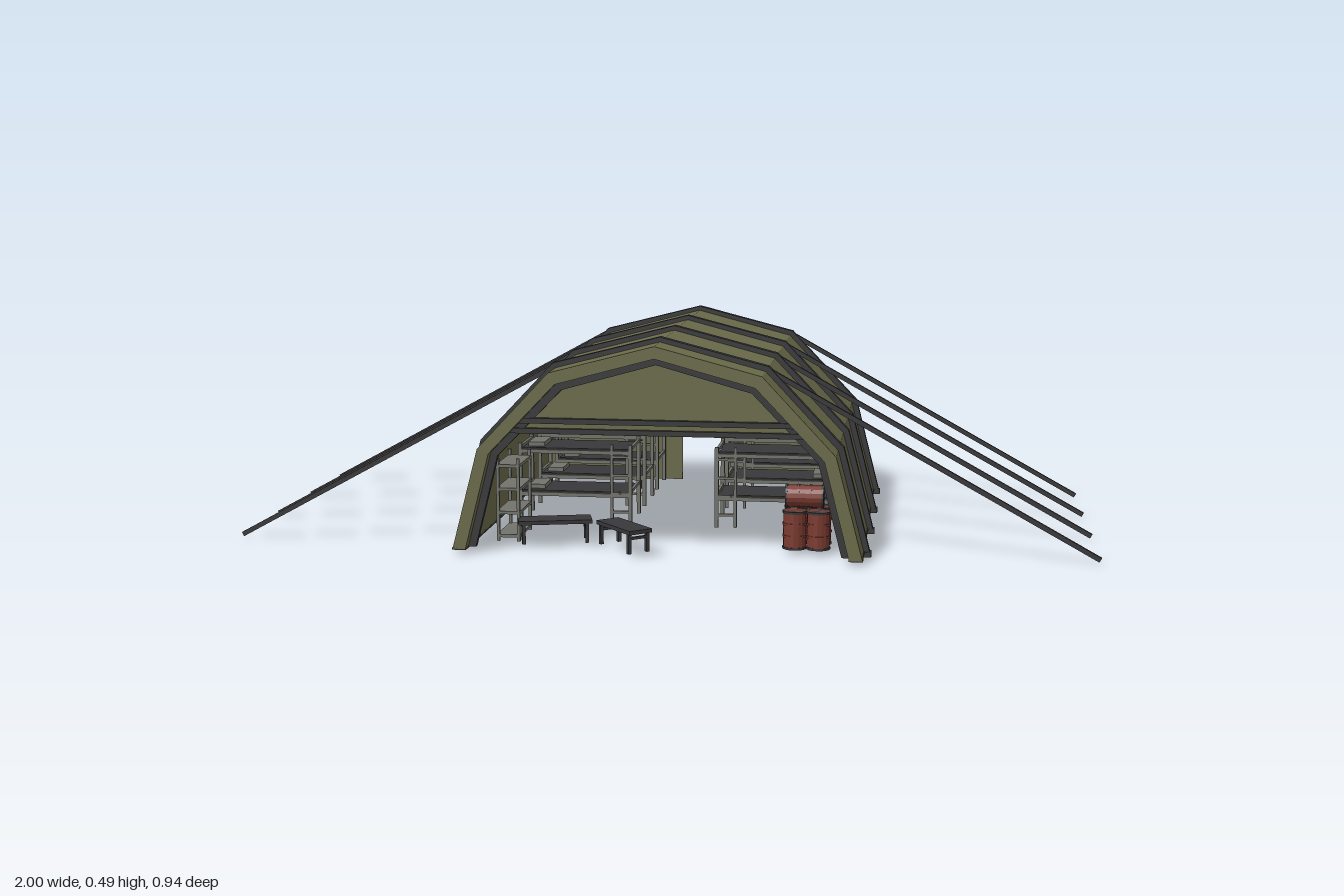
import * as THREE from 'three';

const mat = (color) => new THREE.MeshStandardMaterial({ color, side: THREE.DoubleSide, flatShading: true });
const canvas = mat(0x6b6b4a), dark = mat(0x38383a), metal = mat(0x73736c), red = mat(0x7a3a30);

// Half profiles of the arch, from the foot to the ridge
const RIB = [[0.482, 0.002], [0.418, 0.252], [0.247, 0.433], [0, 0.496]];
const OUTER = [[0.466, 0.013], [0.405, 0.246], [0.24, 0.422], [0, 0.485]];
const INNER = [[0.436, 0.013], [0.379, 0.235], [0.225, 0.396], [0, 0.457]];
const FRAME = [[0.418, 0.013], [0.364, 0.226], [0.215, 0.38], [0, 0.44]];

const mirror = (half) => [...half, ...half.slice(0, -1).reverse().map(([x, y]) => [-x, y])];
const toShape = (pts) => new THREE.Shape(pts.map(([x, y]) => new THREE.Vector2(x, y)));

function add(parent, name, geometry, material, x = 0, y = 0, z = 0) {
  const mesh = new THREE.Mesh(geometry, material);
  mesh.name = name;
  mesh.position.set(x, y, z);
  parent.add(mesh);
  return mesh;
}

function box(parent, name, w, h, d, x, y, z, material) {
  return add(parent, name, new THREE.BoxGeometry(w, h, d), material, x, y, z);
}

// Flat shape given depth, centred on z
function slab(parent, name, pts, depth, z, material) {
  const geo = new THREE.ExtrudeGeometry(toShape(pts), { depth, bevelEnabled: false });
  return add(parent, name, geo, material, 0, 0, z - depth / 2);
}

// Arch band between two half profiles
const arch = (parent, name, outer, inner, depth, z, material) =>
  slab(parent, name, [...mirror(outer), ...mirror(inner).reverse()], depth, z, material);

function group(parent, name, x = 0, y = 0, z = 0) {
  const g = new THREE.Group();
  g.name = name;
  g.position.set(x, y, z);
  parent.add(g);
  return g;
}

// Square bar between two points in the x-y plane
function bar(parent, name, x0, y0, x1, y1, z, t, material) {
  const m = box(parent, name, Math.hypot(x1 - x0, y1 - y0), t, t, (x0 + x1) / 2, (y0 + y1) / 2, z, material);
  m.rotation.z = Math.atan2(y1 - y0, x1 - x0);
  return m;
}

// Bunk bed lying along x, ladder at the end nearest the aisle
function bunk(parent, side, z) {
  const g = group(parent, 'bunkBed', side * 0.24, 0.013, z);
  const L = 0.27, W = 0.13;
  for (const sx of [-1, 1]) {
    for (const sz of [-1, 1])
      box(g, 'bunkPost', 0.009, 0.195, 0.009, sx * L / 2, 0.0975, sz * W / 2, metal);
    for (const y of [0.08, 0.185])
      box(g, 'endRail', 0.007, 0.007, W, sx * L / 2, y, 0, metal);
  }
  for (const y of [0.07, 0.175]) {
    for (const sz of [-1, 1]) box(g, 'sideRail', L, 0.009, 0.007, 0, y, sz * W / 2, metal);
    box(g, 'bunkBase', L - 0.01, 0.01, W - 0.008, 0, y + 0.003, 0, dark);
    box(g, 'pillow', 0.04, 0.01, W * 0.6, side * 0.1, y + 0.013, 0, metal);
  }
  const lx = -side * (L / 2 - 0.045);
  box(g, 'ladderPost', 0.007, 0.195, 0.007, lx, 0.0975, W / 2, metal);
  for (let i = 0; i < 4; i++)
    box(g, 'ladderRung', 0.045, 0.006, 0.006, -side * (L / 2 - 0.0225), 0.03 + i * 0.045, W / 2, metal);
}

// Small bench on four legs
function bench(parent, x, z, length, turn) {
  const g = group(parent, 'bench', x, 0.013, z);
  g.rotation.y = turn;
  box(g, 'benchTop', length, 0.009, 0.06, 0, 0.05, 0, dark);
  for (const sx of [-1, 1]) {
    for (const sz of [-1, 1])
      box(g, 'benchLeg', 0.008, 0.047, 0.008, sx * (length / 2 - 0.012), 0.0235, sz * 0.024, dark);
    box(g, 'benchBrace', 0.006, 0.006, 0.048, sx * (length / 2 - 0.012), 0.035, 0, dark);
  }
}

// Steel drum with rolling hoops
function barrel(parent, x, y, z, lying) {
  const g = group(parent, 'barrel', x, y, z);
  const h = 0.088, r = 0.026;
  add(g, 'barrelBody', new THREE.CylinderGeometry(r, r, h, 16), red);
  for (const k of [-0.5, -0.17, 0.17, 0.5])
    add(g, 'barrelHoop', new THREE.CylinderGeometry(r + 0.002, r + 0.002, 0.005, 16), k % 0.5 ? red : dark, 0, k * (h - 0.005), 0);
  if (lying) g.rotation.z = Math.PI / 2;
}

export function createModel() {
  const root = new THREE.Group();
  root.name = 'fieldTent';
  const tent = group(root, 'tent', 0.005);

  // Canvas shell, ground hems and hoops
  arch(tent, 'canvasShell', OUTER, INNER, 0.93, 0, canvas);
  for (const s of [-1, 1]) {
    box(tent, 'groundHem', 0.032, 0.005, 0.93, s * 0.451, 0.0135, 0, dark);
    arch(tent, 'innerFrame', INNER, FRAME, 0.015, s * 0.43, s > 0 ? dark : canvas);
  }
  const hoops = [-0.365, -0.122, 0.122, 0.365];
  for (const z of hoops) {
    arch(tent, 'hoop', RIB, OUTER, 0.022, z, dark);
    for (const s of [-1, 1]) {
      box(tent, 'hoopFoot', 0.035, 0.012, 0.024, s * 0.465, 0.008, z, dark);
      // Guy lines
      bar(root, 'guyLine', s * 0.996, 0.01, s * 0.235 + 0.005, 0.43, z, 0.011, dark);
    }
  }

  // Front gable above the wide opening, with its cross beams
  slab(tent, 'frontGable', mirror([[0.315, 0.3], ...INNER.slice(2)]), 0.008, 0.425, canvas);
  box(tent, 'openingBeam', 0.67, 0.012, 0.02, 0, 0.309, 0.432, dark);
  box(tent, 'openingBeam', 0.69, 0.012, 0.02, 0, 0.286, 0.432, dark);
  box(tent, 'beamWeb', 0.68, 0.02, 0.008, 0, 0.297, 0.428, canvas);

  // Back wall with a doorway
  const DW = 0.056, DH = 0.165;
  slab(tent, 'backWall', [...mirror(INNER), [-DW, 0.013], [-DW, DH], [DW, DH], [DW, 0.013]], 0.008, -0.438, canvas);

  // Windows with rolled covers
  for (const s of [-1, 1]) {
    const w = group(tent, 'window', s * 0.26, 0.105, -0.445);
    box(w, 'windowPanel', 0.062, 0.055, 0.006, 0, 0, 0, canvas);
    for (const k of [-1, 1]) box(w, 'windowFrame', 0.005, 0.058, 0.009, k * 0.032, 0, 0, dark);
    box(w, 'windowSill', 0.069, 0.005, 0.009, 0, -0.028, 0, dark);
    const roll = add(w, 'windowRoll', new THREE.CylinderGeometry(0.009, 0.009, 0.115, 8), canvas, 0, 0.036, -0.006);
    roll.rotation.z = Math.PI / 2;
    for (const k of [-1, 1])
      add(w, 'rollStrap', new THREE.BoxGeometry(0.006, 0.021, 0.02), dark, k * 0.038, 0.036, -0.006);
  }
  // Rolled door cover
  const doorRoll = add(tent, 'doorRoll', new THREE.CylinderGeometry(0.008, 0.008, 0.12, 8), canvas, 0, DH + 0.008, -0.428);
  doorRoll.rotation.z = Math.PI / 2;

  // Furniture
  for (const s of [-1, 1])
    for (const z of [0.09, -0.135, -0.35]) bunk(tent, s, z);

  const shelf = group(tent, 'shelfUnit', -0.357, 0.013, 0.305);
  for (const sx of [-1, 1])
    for (const sz of [-1, 1])
      box(shelf, 'shelfPost', 0.007, 0.195, 0.007, sx * 0.024, 0.0975, sz * 0.062, metal);
  for (let i = 0; i < 4; i++)
    box(shelf, 'shelfBoard', 0.055, 0.007, 0.13, 0, 0.012 + i * 0.055, 0, metal);

  bench(tent, -0.25, 0.355, 0.17, 0.26);
  bench(tent, -0.08, 0.4, 0.145, -0.85);

  // Stacked barrels
  for (const x of [0.307, 0.361])
    for (const z of [0.3, 0.355]) barrel(tent, x, 0.058, z, false);
  barrel(tent, 0.328, 0.13, 0.327, true);

  return root;
}
